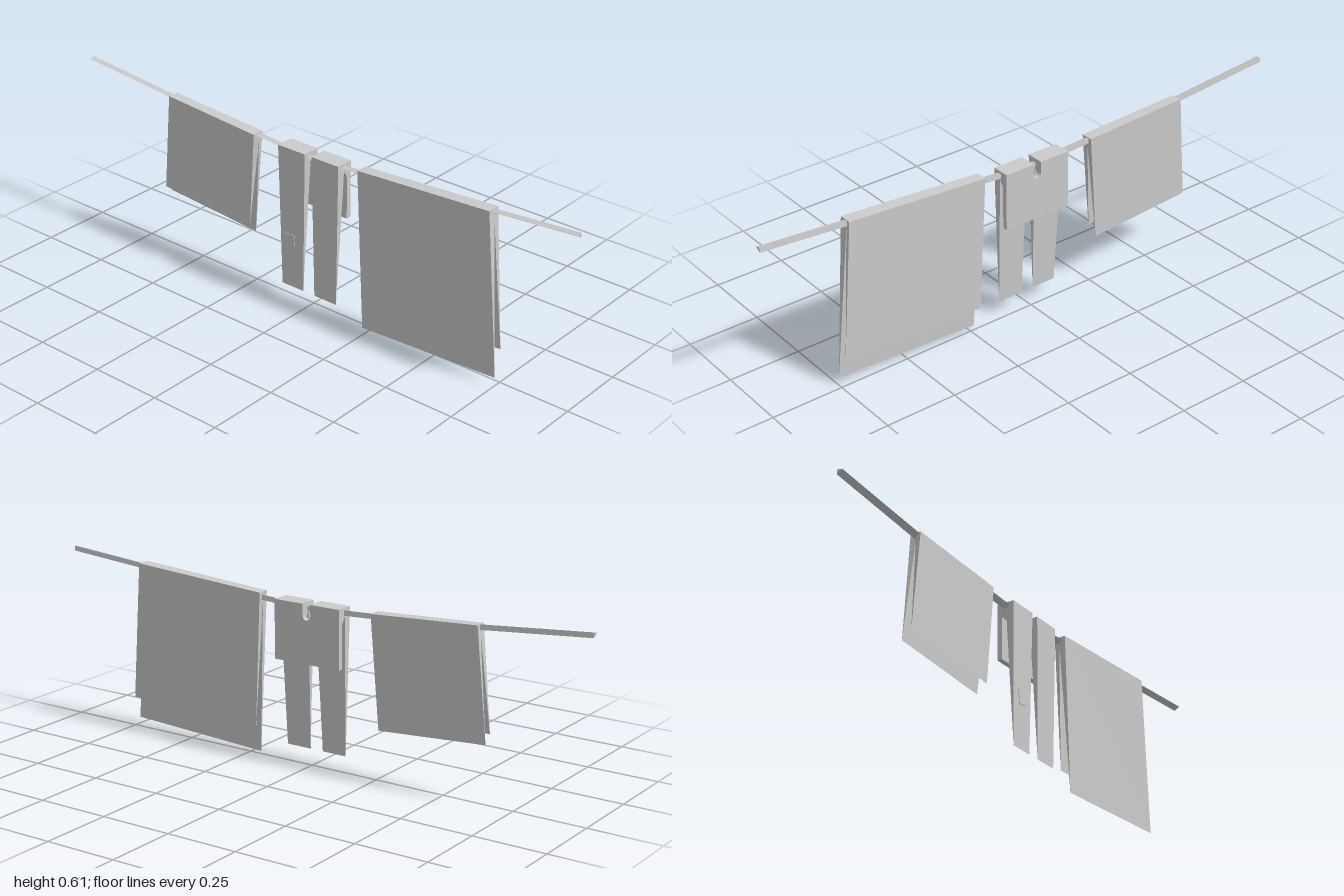
import * as THREE from 'three';

const material = new THREE.MeshStandardMaterial({ color: 0xcccccc, flatShading: true, side: THREE.DoubleSide });

// Joins cross-sections running from -x to +x; each section is a loop that can be fanned from its first point
function loft(sections) {
  const pos = [];
  const tri = (a, b, c) => pos.push(...a, ...b, ...c);
  const n = sections[0].length;
  for (let s = 0; s < sections.length - 1; s++) {
    const l = sections[s], r = sections[s + 1];
    for (let i = 0; i < n; i++) {
      const j = (i + 1) % n;
      tri(l[i], l[j], r[j]);
      tri(l[i], r[j], r[i]);
    }
  }
  const first = sections[0], last = sections[sections.length - 1];
  for (let i = 1; i < n - 1; i++) {
    tri(first[0], first[i + 1], first[i]);
    tri(last[0], last[i], last[i + 1]);
  }
  const g = new THREE.BufferGeometry();
  g.setAttribute('position', new THREE.Float32BufferAttribute(pos, 3));
  g.computeVertexNormals();
  return g;
}

// Side outline of folded cloth: inner fold, back hem, back top, front top, front hem
const fold = (top, front, back, z) => [
  [top[0], top[1] - 0.03, 0],
  [back[0], back[1], z.backHem],
  [top[0], top[1], z.backTop],
  [top[0], top[1], z.frontTop],
  [front[0], front[1], z.frontHem],
];

export function createModel() {
  const model = new THREE.Group();
  const add = (name, geometry, parent = model) => {
    const mesh = new THREE.Mesh(geometry, material);
    mesh.name = name;
    parent.add(mesh);
    return mesh;
  };

  // Sagging three-sided line
  const path = [[-1, 0.604], [-0.62, 0.57], [-0.235, 0.545], [0, 0.533], [0.2, 0.545], [0.7, 0.582], [1, 0.604]];
  const profile = [[0.014, 0.003], [-0.006, -0.009], [-0.004, 0.008]];
  add('clothesline', loft(path.map(([x, y]) => profile.map(([z, dy]) => [x, y + dy, z]))));

  // Two folded sheets
  add('largeSheet', loft([
    fold([0.195, 0.562], [0.222, 0.004], [0.218, 0.088], { frontTop: 0.022, frontHem: 0.021, backTop: -0.018, backHem: -0.013 }),
    fold([0.7, 0.592], [0.745, 0.028], [0.738, 0.112], { frontTop: 0.027, frontHem: 0.021, backTop: -0.018, backHem: -0.013 }),
  ]));
  add('smallSheet', loft([
    fold([-0.62, 0.578], [-0.652, 0.23], [-0.655, 0.203], { frontTop: 0.018, frontHem: 0.017, backTop: -0.02, backHem: -0.014 }),
    fold([-0.234, 0.555], [-0.262, 0.206], [-0.265, 0.176], { frontTop: 0.025, frontHem: 0.021, backTop: -0.017, backHem: -0.013 }),
  ]));

  // Trousers folded over the line: legs in front, waist behind
  const trousers = new THREE.Group();
  trousers.name = 'trousers';
  model.add(trousers);
  const legZ = { frontTop: 0.029, frontHem: 0.024, backTop: -0.02, backHem: -0.018 };
  const leg = (x0, x1, h0, h1) => loft([
    fold([x0, 0.555], [h0, 0.05], [x0, 0.5], legZ),
    fold([x1, 0.555], [h1, 0.05], [x1, 0.5], legZ),
  ]);
  add('rightLeg', leg(-0.126, -0.014, -0.116, -0.026), trousers);
  add('leftLeg', leg(0.014, 0.124, 0.022, 0.114), trousers);

  const waist = new THREE.Shape();
  waist.moveTo(-0.126, 0.355);
  waist.lineTo(0.124, 0.355);
  waist.lineTo(0.124, 0.555);
  waist.lineTo(0.014, 0.555);
  waist.lineTo(0.014, 0.515);
  waist.absarc(0, 0.515, 0.014, 0, -Math.PI, true);
  waist.lineTo(-0.014, 0.555);
  waist.lineTo(-0.126, 0.555);
  add('waist', new THREE.ExtrudeGeometry(waist, { depth: 0.018, bevelEnabled: false, curveSegments: 4 })
    .translate(0, 0, -0.033), trousers);

  // Patch on the right leg
  const patch = add('patch', new THREE.BoxGeometry(0.045, 0.048, 0.002), trousers);
  patch.position.set(-0.077, 0.225, 0.033);
  patch.rotation.z = 0.08;

  return model;
}
